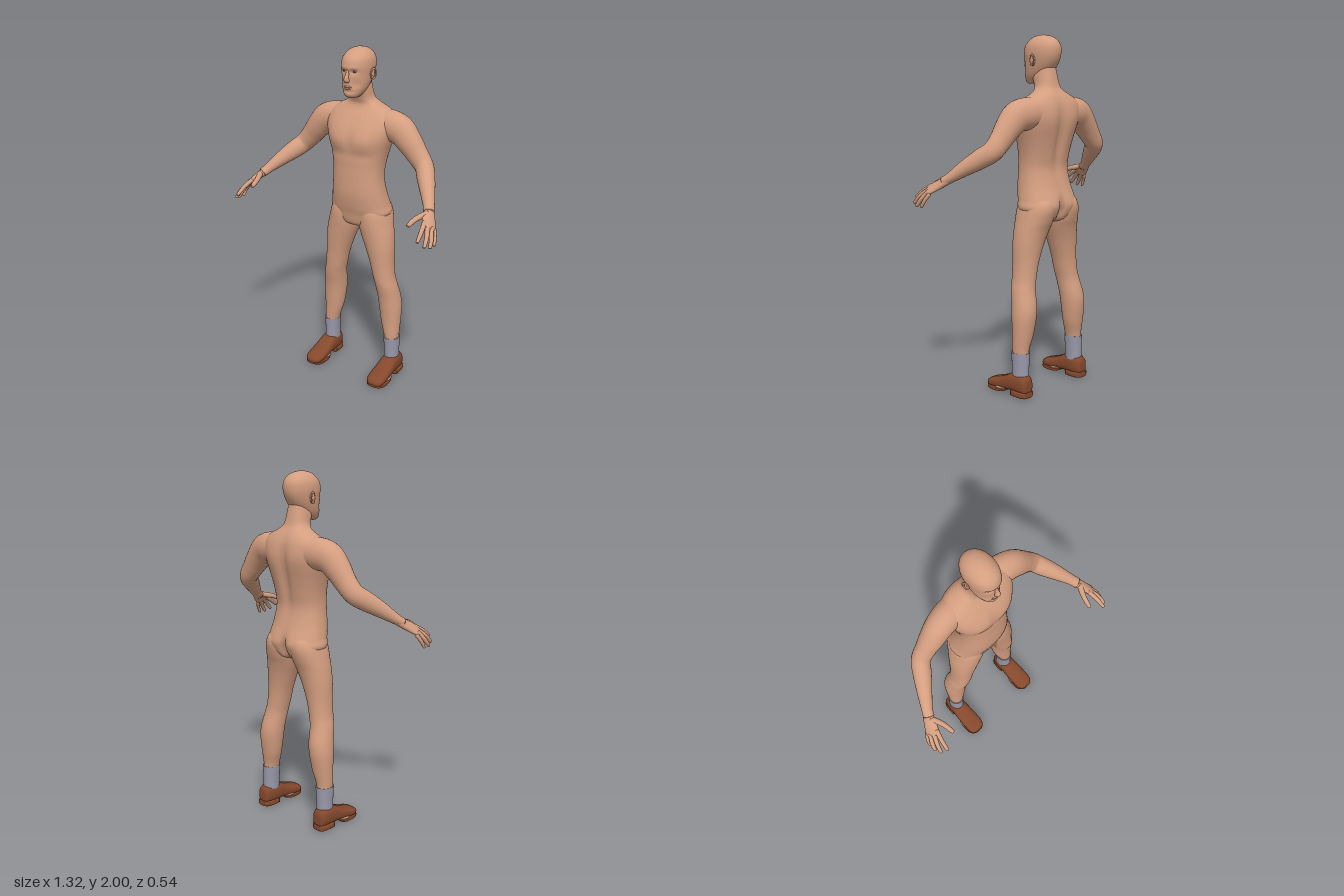
import * as THREE from 'three';

const V = (x, y, z) => new THREE.Vector3(x, y, z);
const mat = (name, color) => Object.assign(new THREE.MeshStandardMaterial({ color }), { name });

// Catmull-Rom refinement of rows of numbers
function refine(rows, n) {
  const out = [];
  for (let i = 0; i < rows.length - 1; i++) {
    const [a, b, c, d] = [rows[Math.max(i - 1, 0)], rows[i], rows[i + 1], rows[Math.min(i + 2, rows.length - 1)]];
    for (let k = 0; k < n; k++) {
      const t = k / n;
      out.push(b.map((q, j) => q + 0.5 * t * (c[j] - a[j] + t * (2 * a[j] - 5 * q + 4 * c[j] - d[j] + t * (3 * (q - c[j]) + d[j] - a[j])))));
    }
  }
  out.push(rows[rows.length - 1]);
  return out;
}

// Closed skin over rings of points, capped at both ends
function loft(rings) {
  const m = rings[0].length, pts = rings.flat(), idx = [];
  const at = (r, i) => r * m + (i % m);
  for (let r = 0; r < rings.length - 1; r++)
    for (let i = 0; i < m; i++)
      idx.push(at(r, i), at(r + 1, i), at(r, i + 1), at(r + 1, i), at(r + 1, i + 1), at(r, i + 1));
  [0, rings.length - 1].forEach((r, end) => {
    const c = pts.length;
    pts.push(rings[r].reduce((s, p) => s.add(p), V(0, 0, 0)).divideScalar(m));
    for (let i = 0; i < m; i++)
      end ? idx.push(c, at(r, i + 1), at(r, i)) : idx.push(c, at(r, i), at(r, i + 1));
  });
  const g = new THREE.BufferGeometry().setFromPoints(pts);
  g.setIndex(idx);
  g.computeVertexNormals();
  return g;
}

// Superellipse ring around c with half axes u and v
function ring(c, u, v, e, m) {
  const f = q => Math.sign(q) * Math.abs(q) ** (2 / e);
  return Array.from({ length: m }, (_, i) => {
    const a = i / m * Math.PI * 2;
    return c.clone().addScaledVector(u, f(Math.cos(a))).addScaledVector(v, f(Math.sin(a)));
  });
}

// Upright form; rows are [y, xMin, xMax, zFront, zBack]
const column = (rows, e = 2, m = 32, n = 4) => loft(refine(rows, n).map(([y, a, b, f, k]) =>
  ring(V((a + b) / 2, y, (f + k) / 2), V((b - a) / 2, 0, 0), V(0, 0, (f - k) / 2), e, m)));

// Form lying along z; rows are [z, xMin, xMax, yTop, yBottom]
const lying = (rows, e = 2.6, m = 28, n = 4) => loft(refine(rows, n).map(([z, a, b, t, k]) =>
  ring(V((a + b) / 2, (t + k) / 2, z), V((b - a) / 2, 0, 0), V(0, (k - t) / 2, 0), e, m)));

// Limb along a path; rows are [x, y, z, radius along ref, other radius]
function limb(rows, ref, m = 20, n = 4) {
  const R = refine(rows, n), P = R.map(r => V(r[0], r[1], r[2]));
  return loft(R.map((r, i) => {
    const dir = P[Math.min(i + 1, P.length - 1)].clone().sub(P[Math.max(i - 1, 0)]).normalize();
    const u = ref.clone().addScaledVector(dir, -ref.dot(dir)).normalize();
    const v = u.clone().cross(dir);
    return ring(P[i], u.multiplyScalar(r[3]), v.multiplyScalar(r[4]), 2, m);
  }));
}

function blob(x, y, z, sx, sy, sz) {
  return new THREE.SphereGeometry(1, 20, 14).scale(sx, sy, sz).translate(x, y, z);
}

// Shift z of every vertex by a rule
function sculpt(g, rule) {
  const p = g.attributes.position;
  for (let i = 0; i < p.count; i++) p.setZ(i, p.getZ(i) + rule(Math.abs(p.getX(i)), p.getY(i), p.getZ(i)));
  g.computeVertexNormals();
  return g;
}
const bump = (x, y, cx, cy, wx, wy) => Math.exp(-(((x - cx) / wx) ** 2) - ((y - cy) / wy) ** 2);

function mirror(g) {
  const h = g.clone().scale(-1, 1, 1), a = h.index.array;
  for (let i = 0; i < a.length; i += 3) [a[i], a[i + 1]] = [a[i + 1], a[i]];
  h.computeVertexNormals();
  return h;
}

export function createModel() {
  const model = new THREE.Group();
  const skin = mat('skin', 0xd49e80), leather = mat('shoe leather', 0x85482c);
  const wool = mat('sock grey', 0x9a99aa), white = mat('eye white', 0xc4b4aa), dark = mat('pupil', 0x3a2a22);
  const add = (name, g, m) => {
    const mesh = new THREE.Mesh(g, m);
    mesh.name = name;
    model.add(mesh);
  };
  const pair = (name, g, m) => {
    add(name + 'Left', g, m);
    add(name + 'Right', mirror(g), m);
  };
  const centred = rows => rows.map(([y, w, f, b]) => [y, -w, w, f, b]);

  // Torso and neck, with chest, spine and buttock modelling
  const torso = column(centred([
    [0.96, 0.04, -0.08, -0.16], [0.985, 0.13, -0.04, -0.23], [1.05, 0.188, -0.025, -0.262],
    [1.1, 0.18, -0.012, -0.26], [1.18, 0.165, 0, -0.235], [1.27, 0.155, 0, -0.217],
    [1.35, 0.16, -0.002, -0.228], [1.43, 0.178, 0.002, -0.245], [1.5, 0.2, 0.002, -0.258],
    [1.56, 0.215, -0.015, -0.262], [1.62, 0.21, -0.05, -0.255], [1.66, 0.165, -0.075, -0.24],
    [1.69, 0.105, -0.085, -0.222], [1.72, 0.072, -0.075, -0.205], [1.78, 0.062, -0.05, -0.19],
    [1.83, 0.055, -0.05, -0.18]]), 2.3, 64, 5);
  sculpt(torso, (x, y, z) => z > -0.12
    ? 0.008 * bump(x, y, 0.09, 1.49, 0.07, 0.05) - 0.006 * bump(x, y, 0, 1.5, 0.02, 0.09)
      - 0.006 * bump(x, y, 0.07, 1.41, 0.09, 0.025)
    : 0.022 * bump(x, y, 0, 1.45, 0.03, 0.17) + 0.045 * bump(x, y, 0, 1.03, 0.018, 0.07)
      - 0.008 * bump(x, y, 0.085, 1.06, 0.06, 0.06) - 0.008 * bump(x, y, 0.1, 1.55, 0.06, 0.08));
  add('torso', torso, skin);

  // Head, with eye sockets and brow
  const head = column(centred([
    [1.735, 0.03, -0.01, -0.08], [1.748, 0.046, 0.006, -0.11], [1.78, 0.064, 0.01, -0.145],
    [1.82, 0.075, 0.008, -0.18], [1.86, 0.081, 0.008, -0.205], [1.9, 0.085, 0.012, -0.217],
    [1.94, 0.081, 0.004, -0.215], [1.97, 0.065, -0.022, -0.195], [1.99, 0.04, -0.052, -0.162],
    [1.999, 0.012, -0.09, -0.122]]), 2.1, 56, 6);
  sculpt(head, (x, y, z) => z < -0.06 ? 0
    : 0.004 * bump(x, y, 0.03, 1.9, 0.03, 0.01) - 0.013 * bump(x, y, 0.033, 1.88, 0.018, 0.013)
      - 0.006 * bump(x, y, 0.045, 1.81, 0.02, 0.025) - 0.006 * bump(x, y, 0, 1.772, 0.04, 0.007));
  add('head', head, skin);

  // Face
  add('nose', limb([[0, 1.892, 0.002, 0.008, 0.009], [0, 1.862, 0.012, 0.009, 0.012],
    [0, 1.842, 0.019, 0.014, 0.014], [0, 1.831, 0.014, 0.016, 0.012], [0, 1.825, 0.006, 0.008, 0.006]], V(1, 0, 0)), skin);
  add('upperLip', blob(0, 1.797, 0.006, 0.025, 0.006, 0.009), skin);
  add('lowerLip', blob(0, 1.786, 0.005, 0.021, 0.006, 0.009), skin);
  pair('eye', blob(0.033, 1.88, -0.016, 0.013, 0.006, 0.012), white);
  pair('pupil', blob(0.033, 1.88, -0.006, 0.005, 0.005, 0.003), dark);
  pair('ear', blob(0.084, 1.86, -0.108, 0.009, 0.03, 0.018), skin);
  pair('earRim', new THREE.TorusGeometry(0.017, 0.004, 8, 24).scale(1, 1.6, 1)
    .rotateY(Math.PI / 2 - 0.25).translate(0.091, 1.862, -0.11), skin);

  // Arms
  pair('arm', limb([
    [0.09, 1.575, -0.165, 0.085, 0.08], [0.18, 1.575, -0.158, 0.088, 0.08], [0.25, 1.557, -0.15, 0.085, 0.074],
    [0.31, 1.5, -0.146, 0.073, 0.066], [0.36, 1.44, -0.145, 0.063, 0.056], [0.41, 1.385, -0.135, 0.056, 0.052],
    [0.45, 1.345, -0.085, 0.053, 0.05], [0.5, 1.295, -0.018, 0.042, 0.041], [0.545, 1.245, 0.045, 0.029, 0.031],
    [0.565, 1.222, 0.08, 0.026, 0.03]], V(0, 1, 0), 28, 5), skin);

  // Hands: palm, four fingers and thumb
  const across = V(0.045, -0.035, -0.045);
  pair('palm', limb([[0.55, 1.238, 0.055, 0.028, 0.026], [0.572, 1.213, 0.088, 0.033, 0.022],
    [0.59, 1.193, 0.122, 0.04, 0.018], [0.607, 1.174, 0.152, 0.04, 0.014],
    [0.613, 1.168, 0.163, 0.03, 0.008]], across), skin);
  const fingers = {
    index: [[0.583, 1.195, 0.155], [0.598, 1.163, 0.215], [0.605, 1.13, 0.262]],
    middle: [[0.6, 1.182, 0.152], [0.626, 1.14, 0.205], [0.635, 1.102, 0.242]],
    ring: [[0.615, 1.17, 0.142], [0.64, 1.125, 0.18], [0.649, 1.088, 0.207]],
    little: [[0.625, 1.158, 0.125], [0.643, 1.12, 0.148], [0.65, 1.086, 0.165]],
    thumb: [[0.568, 1.222, 0.095], [0.538, 1.208, 0.16], [0.525, 1.187, 0.22]],
  };
  for (const [name, [a, b, c]] of Object.entries(fingers)) {
    const r = name === 'thumb' ? 0.015 : name === 'little' ? 0.01 : 0.012;
    const tip = c.map((q, i) => q + (c[i] - b[i]) * 0.12);
    pair(name + 'Finger', limb([[...a, r * 1.15, r * 1.1], [...b, r, r], [...c, r * 0.75, r * 0.75],
      [...tip, r * 0.25, r * 0.25]], across, 12), skin);
  }

  // Legs
  pair('leg', column([
    [0.08, 0.188, 0.258, -0.11, -0.195], [0.2, 0.184, 0.26, -0.106, -0.198], [0.27, 0.173, 0.265, -0.1, -0.2],
    [0.35, 0.15, 0.268, -0.098, -0.215], [0.45, 0.135, 0.27, -0.09, -0.229], [0.52, 0.128, 0.263, -0.082, -0.226],
    [0.6, 0.12, 0.25, -0.066, -0.206], [0.66, 0.107, 0.236, -0.058, -0.199], [0.75, 0.085, 0.228, -0.052, -0.2],
    [0.85, 0.05, 0.225, -0.042, -0.212], [0.93, 0.018, 0.215, -0.035, -0.23], [0.985, 0.004, 0.203, -0.03, -0.25],
    [1.05, 0.006, 0.187, -0.03, -0.265], [1.1, 0.02, 0.165, -0.045, -0.25], [1.13, 0.05, 0.13, -0.08, -0.2]],
  2.1, 36), skin);

  // Socks
  pair('sock', column([[0.09, 0.18, 0.266, -0.1, -0.203], [0.16, 0.179, 0.266, -0.1, -0.203],
    [0.245, 0.173, 0.269, -0.096, -0.205], [0.25, 0.173, 0.269, -0.096, -0.205]], 2.1, 36), wool);

  // Shoes: upper, forefoot sole, heel, and the foot showing at the arch
  pair('shoeUpper', lying([
    [-0.222, 0.208, 0.25, 0.085, 0.025], [-0.212, 0.19, 0.267, 0.115, 0.018], [-0.17, 0.177, 0.276, 0.132, 0.015],
    [-0.11, 0.174, 0.28, 0.126, 0.018], [-0.06, 0.172, 0.284, 0.1, 0.018], [0, 0.17, 0.286, 0.076, 0.012],
    [0.045, 0.174, 0.284, 0.062, 0.01], [0.07, 0.188, 0.272, 0.05, 0.012], [0.08, 0.21, 0.25, 0.035, 0.018]]), leather);
  pair('sole', lying([[-0.06, 0.18, 0.28, 0.022, 0.008], [-0.03, 0.17, 0.289, 0.022, 0.001],
    [0.03, 0.168, 0.29, 0.022, 0.001], [0.065, 0.182, 0.277, 0.022, 0.004],
    [0.082, 0.208, 0.252, 0.022, 0.01]], 5), leather);
  pair('heel', lying([[-0.226, 0.205, 0.255, 0.035, 0.002], [-0.212, 0.186, 0.272, 0.035, 0],
    [-0.17, 0.176, 0.28, 0.035, 0], [-0.125, 0.178, 0.28, 0.035, 0]], 5), leather);
  pair('foot', blob(0.229, 0.026, -0.03, 0.0615, 0.013, 0.055), skin);

  return model;
}
